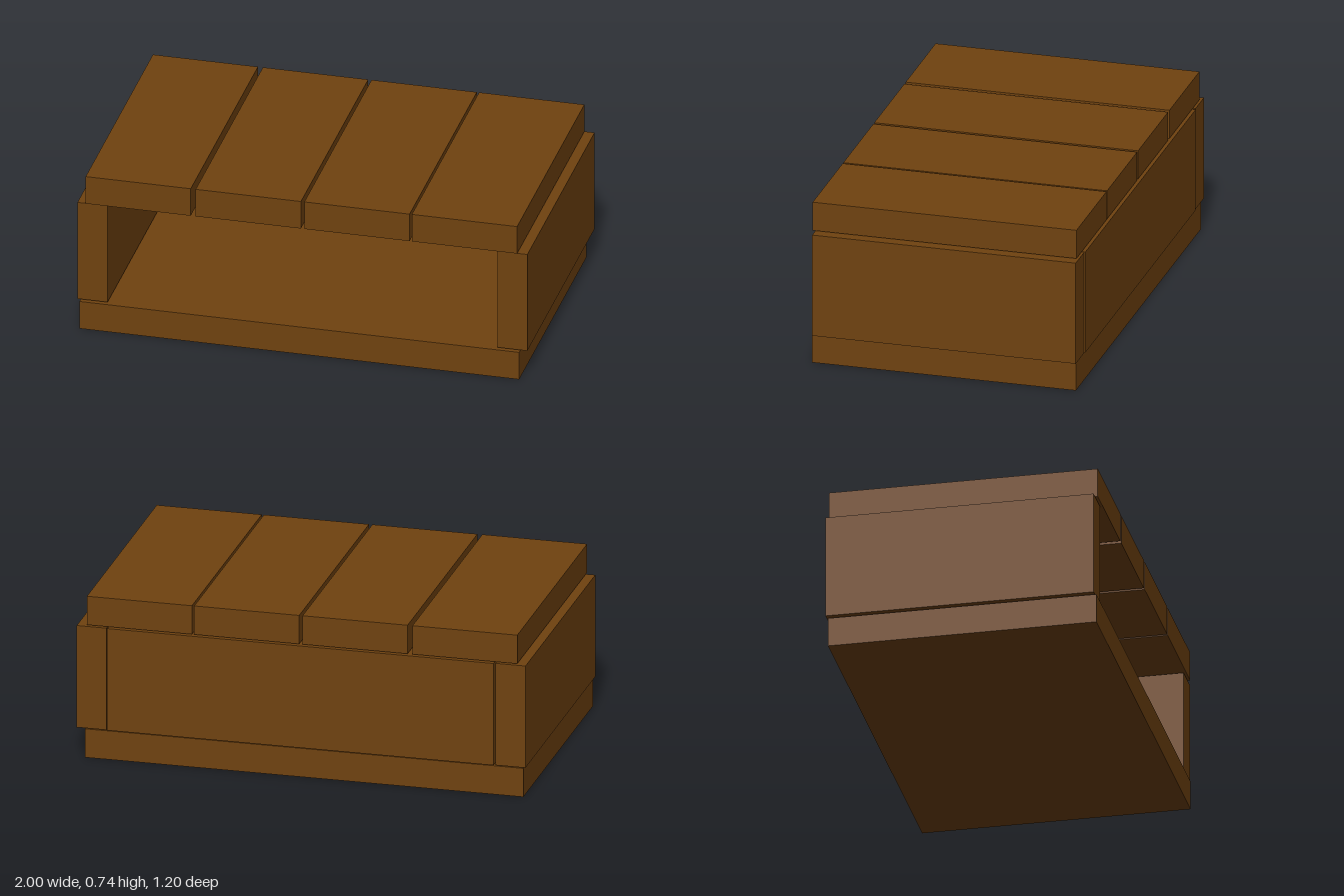
import * as THREE from 'three';

export function createModel() {
  const group = new THREE.Group();
  group.name = 'openFrontBox';
  const wood = new THREE.MeshStandardMaterial({ color: 0x70420f });
  wood.name = 'brown wood';

  // Board spanning the given ranges on each axis
  function board(name, [x0, x1], [y0, y1], [z0, z1]) {
    const mesh = new THREE.Mesh(new THREE.BoxGeometry(x1 - x0, y1 - y0, z1 - z0), wood);
    mesh.position.set((x0 + x1) / 2, (y0 + y1) / 2, (z0 + z1) / 2);
    mesh.name = name;
    group.add(mesh);
  }

  const slabDepth = [-0.585, 0.598];
  const wallHeight = [0.138, 0.605];
  const wallDepth = [-0.594, 0.588];

  // Base slab
  board('base', [-0.988, 0.966], [0, 0.131], slabDepth);

  // Side walls and back wall, open at the front
  board('rightWall', [-1, -0.866], wallHeight, wallDepth);
  board('leftWall', [0.868, 1], wallHeight, wallDepth);
  board('backWall', [-0.858, 0.863], wallHeight, [-0.598, -0.47]);

  // Four loosely spaced top planks
  const planks = [[-0.961, -0.494], [-0.472, -0.004], [0.011, 0.479], [0.489, 0.957]];
  planks.forEach((span, i) => board(`topPlank${i + 1}`, span, [0.609, 0.74], slabDepth));

  return group;
}
